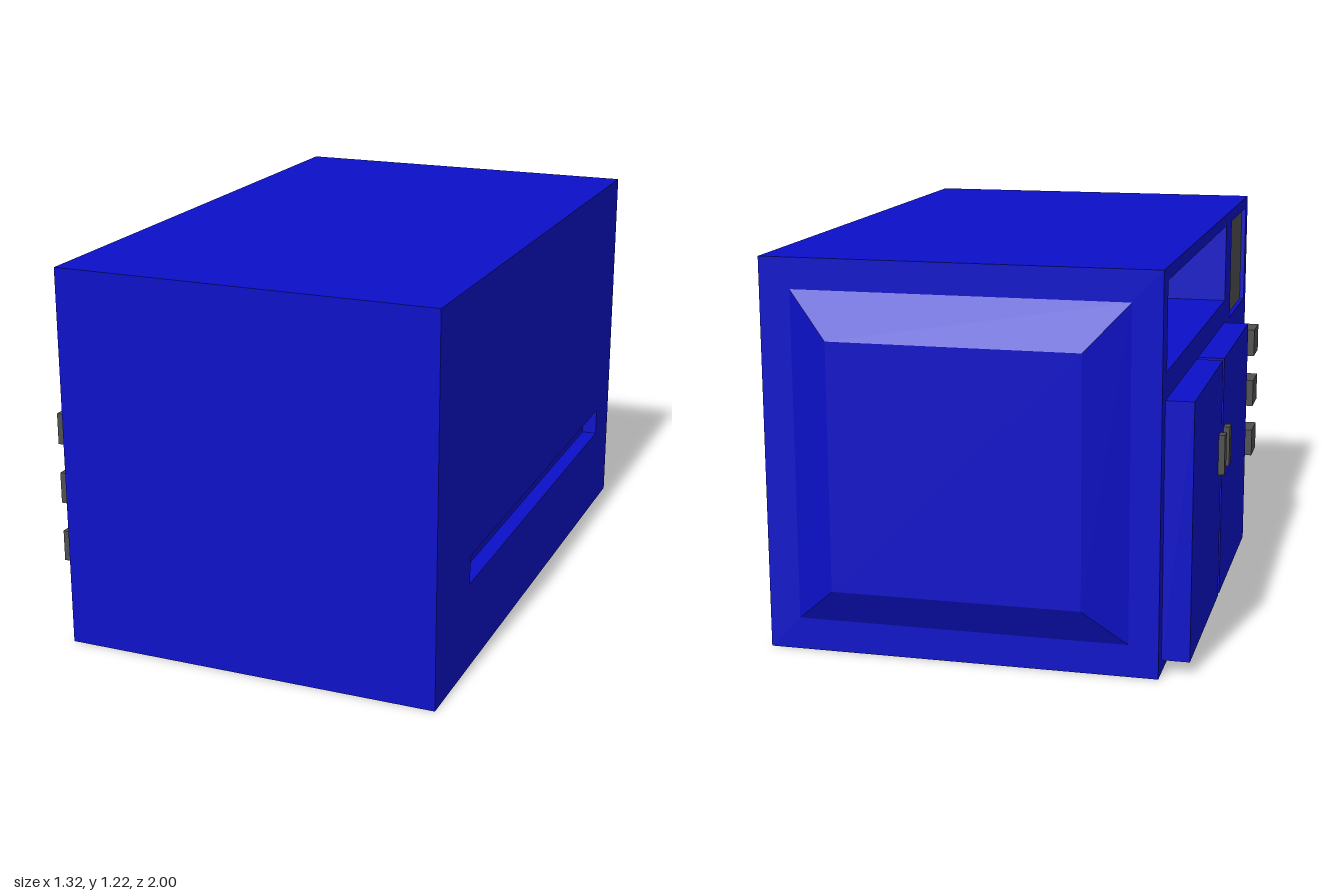
import * as THREE from 'three';

const blue = new THREE.MeshStandardMaterial({ color: 0x0c10c8 });
const grey = new THREE.MeshStandardMaterial({ color: 0x505050 });

// Cabinet extents
const X0 = -0.555, X1 = 0.655, Y1 = 1.215, Z0 = -0.935, Z1 = 1;

export function createModel() {
  const model = new THREE.Group();

  function add(name, geometry, material) {
    const mesh = new THREE.Mesh(geometry, material);
    mesh.name = name;
    model.add(mesh);
    return mesh;
  }

  // Box between two corners; 'omit' lists side faces left open (0 = +x, 1 = -x)
  function span(x0, x1, y0, y1, z0, z1, omit = []) {
    const g = new THREE.BoxGeometry(x1 - x0, y1 - y0, z1 - z0);
    g.translate((x0 + x1) / 2, (y0 + y1) / 2, (z0 + z1) / 2);
    if (omit.length) {
      g.setIndex(Array.from(g.index.array).filter((_, i) => !omit.includes(Math.floor(i / 6))));
      g.clearGroups();
    }
    return g;
  }

  // Box turned inside out, for the walls of a recess
  function pocket(...args) {
    const g = span(...args);
    g.setIndex(Array.from(g.index.array).reverse());
    g.computeVertexNormals();
    return g;
  }

  // Flat panel facing +x (side = 1) or -x (side = -1), with rectangular holes
  function sidePanel(side, x, [y0, y1, z0, z1], holes = []) {
    const corners = (a, b, c, d) =>
      [[c, a], [d, a], [d, b], [c, b]].map(([z, y]) => new THREE.Vector2(-side * z, y));
    const shape = new THREE.Shape(corners(y0, y1, z0, z1));
    holes.forEach(h => shape.holes.push(new THREE.Path(corners(...h))));
    return new THREE.ShapeGeometry(shape).rotateY(side * Math.PI / 2).translate(x, 0, 0);
  }

  // Recesses as [y0, y1, z0, z1]
  const shelf = [0.91, 1.175, -0.86, 0.388];
  const display = [0.825, 1.175, 0.535, 0.945];
  const slot = [0.28, 0.37, -0.765, 0.70];
  const side = [0, Y1, Z0, Z1];
  const shelfX = X0 + 0.246, displayX = X0 + 0.015, slotX = X1 - 0.05;

  // Cabinet shell and its two pierced sides
  add('cabinet', span(X0, X1, 0, Y1, Z0, Z1, [0, 1]), blue);
  add('doorSide', sidePanel(-1, X0, side, [shelf, display]), blue);
  add('slotSide', sidePanel(1, X1, side, [slot]), blue);

  // Recess walls and their backs
  add('shelfRecess', pocket(X0, shelfX, ...shelf, [0, 1]), blue);
  add('shelfBack', sidePanel(-1, shelfX, shelf), grey);
  add('displayRecess', pocket(X0, displayX, ...display, [0, 1]), blue);
  add('displayPanel', sidePanel(-1, displayX, display), grey);
  add('slotRecess', pocket(slotX, X1, ...slot, [0]), blue);

  // Tapered bulge on the back
  const bulge = new THREE.BoxGeometry(2, 2, 0.065).toNonIndexed();
  const p = bulge.attributes.position;
  for (let i = 0; i < p.count; i++) {
    const outer = p.getZ(i) < 0;
    p.setX(i, p.getX(i) * (outer ? 0.3825 : 0.512));
    p.setY(i, p.getY(i) * (outer ? 0.383 : 0.51));
    if (outer) p.setY(i, p.getY(i) - 0.012);
  }
  bulge.computeVertexNormals();
  add('backBulge', bulge, blue).position.set(0.0475, 0.61, Z0 - 0.0325);

  // Pair of doors with handles
  [[-0.88, -0.275, -0.34], [-0.245, 0.39, -0.225]].forEach(([z0, z1, hz]) => {
    add('door', span(-0.64, X0, 0.04, 0.83, z0, z1), blue);
    add('doorHandle', span(-0.66, -0.64, 0.47, 0.6, hz, hz + 0.043), grey);
  });

  // Column of knobs
  for (let i = 0; i < 3; i++) {
    const y = 0.24 + i * 0.195;
    add('knob', span(-0.617, X0, y, y + 0.1, 0.8, 0.93), grey);
  }

  return model;
}
